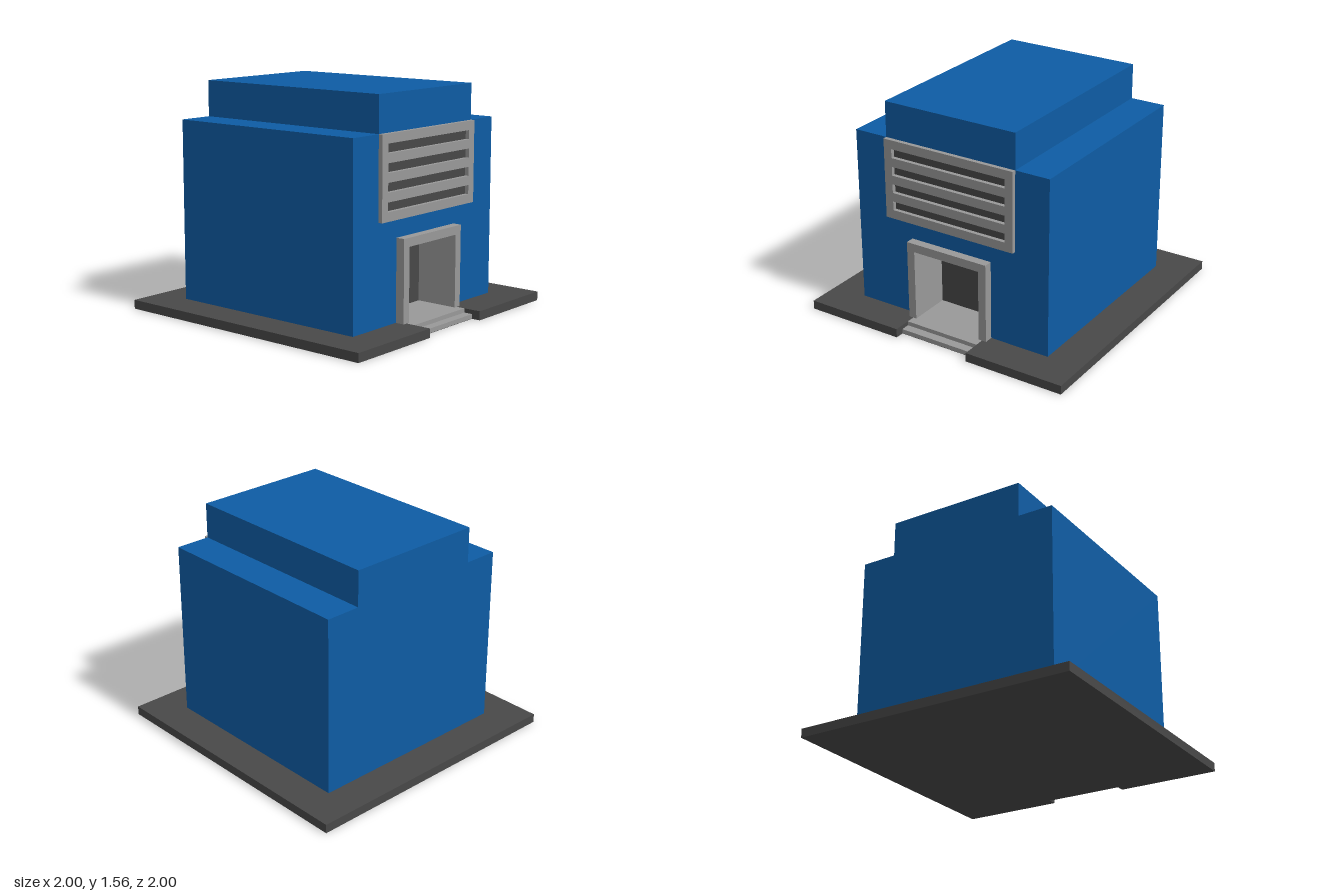
import * as THREE from 'three';

const paint = (name, color) => {
  const m = new THREE.MeshStandardMaterial({ color });
  m.name = name;
  return m;
};

const shapeOf = pts => new THREE.Shape(pts.map(p => new THREE.Vector2(...p)));
const rect = (x0, y0, x1, y1) => [[x0, y0], [x1, y0], [x1, y1], [x0, y1]];

export function createModel() {
  const blue = paint('blue wall', 0x0e5ca4);
  const grey = paint('light grey trim', 0x999999);
  const dark = paint('dark grey', 0x484848);

  const model = new THREE.Group();
  model.name = 'building';
  const add = (parent, name, geometry, material, x = 0, y = 0, z = 0) => {
    const mesh = new THREE.Mesh(geometry, material);
    mesh.name = name;
    mesh.position.set(x, y, z);
    parent.add(mesh);
    return mesh;
  };
  const extrude = (shape, depth) => new THREE.ExtrudeGeometry(shape, { depth, bevelEnabled: false });

  const ground = 0.0625, doorBack = 0.5, wallZ = 0.75;

  // Ground slab with a notch for the entrance (drawn in x, -z), closed underneath
  const slab = shapeOf([[-1, -1], [-0.28, -1], [-0.28, -doorBack], [0.28, -doorBack],
    [0.28, -1], [1, -1], [1, 1], [-1, 1]]);
  add(model, 'groundSlab', extrude(slab, ground).rotateX(-Math.PI / 2), dark);
  add(model, 'notchUnderside', new THREE.BoxGeometry(0.56, 0.002, 0.4375), dark, 0, 0.001, 0.71875);

  // Entrance floor and lower step
  const steps = new THREE.Group();
  steps.name = 'entranceSteps';
  model.add(steps);
  [['entranceFloor', doorBack, 0.875, ground], ['lowerStep', 0.875, 0.9375, 0.033]].forEach(([name, z0, z1, top]) =>
    add(steps, name, new THREE.BoxGeometry(0.56, top - 0.002, z1 - z0), grey, 0, (top + 0.002) / 2, (z0 + z1) / 2));

  // Body: stepped silhouette, with the doorway cut from the front face only
  const body = new THREE.Group();
  body.name = 'body';
  model.add(body);
  const outline = [[0.75, ground], [0.75, 1.3125], [0.5, 1.3125], [0.5, 1.5625],
    [-0.5, 1.5625], [-0.5, 1.3125], [-0.75, 1.3125], [-0.75, ground]];
  const door = [[0.3125, ground], [0.3125, 0.625], [-0.3125, 0.625], [-0.3125, ground]];
  const frontFace = shapeOf([...outline, ...door.slice().reverse()]);
  add(body, 'frontWall', new THREE.ShapeGeometry(frontFace), blue, 0, 0, wallZ);
  add(body, 'backWall', new THREE.ShapeGeometry(shapeOf(outline)).rotateY(Math.PI), blue, 0, 0, -wallZ);

  // Side walls and roofs: one quad for each edge of the silhouette
  const sides = [];
  for (let i = 0; i < outline.length - 1; i++) {
    const a = outline[i], b = outline[i + 1];
    const [af, bf, ab, bb] = [[...a, wallZ], [...b, wallZ], [...a, -wallZ], [...b, -wallZ]];
    sides.push(...af, ...ab, ...bb, ...af, ...bb, ...bf);
  }
  const sideGeometry = new THREE.BufferGeometry();
  sideGeometry.setAttribute('position', new THREE.Float32BufferAttribute(sides, 3));
  sideGeometry.computeVertexNormals();
  add(body, 'sidesAndRoof', sideGeometry, blue);

  // Door frame whose lining runs back into the recess
  const frame = shapeOf([[-0.3125, ground], [-0.255, ground], [-0.255, 0.565], [0.255, 0.565],
    [0.255, ground], [0.3125, ground], [0.3125, 0.625], [-0.3125, 0.625]]);
  add(model, 'doorFrame', extrude(frame, 0.8125 - doorBack), grey, 0, 0, doorBack);
  add(model, 'door', new THREE.BoxGeometry(0.51, 0.5025, 0.008), dark, 0, 0.31375, doorBack + 0.004);

  // Slotted window panel with dark glass behind the slots
  const panel = shapeOf(rect(-0.5, 0.75, 0.5, 1.3125));
  for (let i = 0; i < 4; i++) {
    const y = 0.8125 + i * 0.125;
    panel.holes.push(new THREE.Path(rect(-0.44, y, 0.44, y + 0.0625).reverse().map(p => new THREE.Vector2(...p))));
    add(model, 'windowGlass', new THREE.PlaneGeometry(0.88, 0.0625), dark, 0, y + 0.03125, wallZ + 0.002);
  }
  add(model, 'windowPanel', extrude(panel, 0.03), grey, 0, 0, wallZ);

  return model;
}
